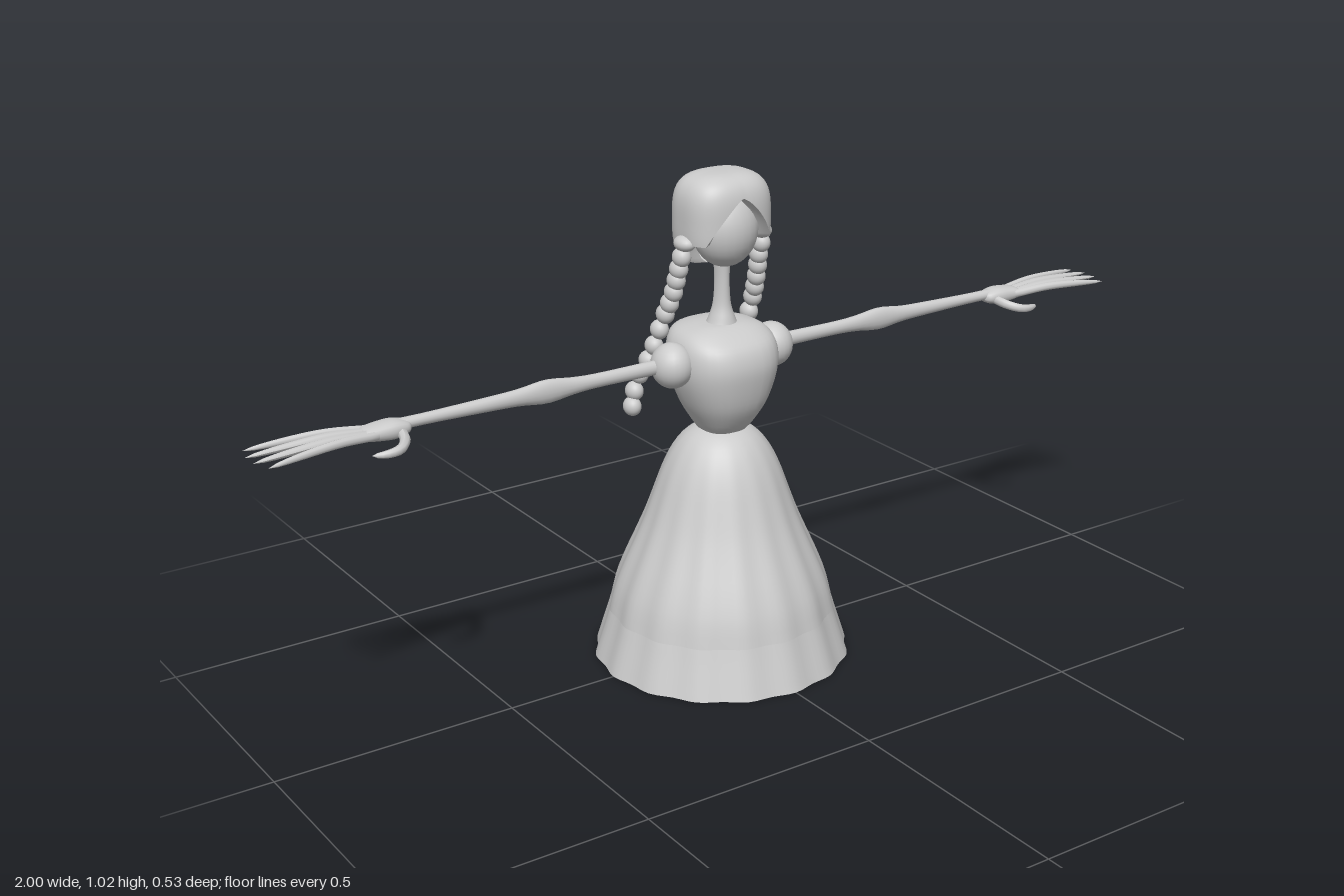
import * as THREE from 'three';

const material = new THREE.MeshStandardMaterial({ color: 0xcccccc, side: THREE.DoubleSide });
const lerp = THREE.MathUtils.lerp;

// Closed-around surface from point(angle, v); angle 0 faces +z, v runs upward
function surface(point, sides, rows) {
  const pos = [], index = [];
  for (let j = 0; j <= rows; j++) {
    for (let i = 0; i < sides; i++) {
      pos.push(...point((i / sides) * Math.PI * 2, j / rows));
      if (j === rows) continue;
      const a = j * sides + i, b = j * sides + (i + 1) % sides;
      index.push(a, b, a + sides, b, b + sides, a + sides);
    }
  }
  const g = new THREE.BufferGeometry();
  g.setAttribute('position', new THREE.Float32BufferAttribute(pos, 3));
  g.setIndex(index);
  g.computeVertexNormals();
  return g;
}

// Rounded-square cross-section, front and back depth set apart
function section(a, rx, zf, zb, power) {
  const s = Math.sin(a), c = Math.cos(a), e = 2 / power;
  return [Math.sign(s) * Math.abs(s) ** e * rx, Math.abs(c) ** e * (c > 0 ? zf : zb)];
}

// Smooth loft through rings [y, half width, front z, back z]
function loft(rings, { power = 2, sides = 32, rows = 24, ripple = () => 1 } = {}) {
  const width = new THREE.CatmullRomCurve3(rings.map(r => new THREE.Vector3(r[1], r[0], 0)), false, 'catmullrom');
  const depth = new THREE.CatmullRomCurve3(
    rings.map(r => new THREE.Vector3(r[2] ?? r[1], r[0], r[3] ?? -r[1])), false, 'catmullrom');
  return surface((a, v) => {
    const w = width.getPoint(v), d = depth.getPoint(v), k = ripple(a, w.y);
    const [x, z] = section(a, w.x, d.x, d.z, power);
    return [x * k, w.y, z * k];
  }, sides, rows);
}

// Round tube along points, thinned towards the tip
function taperedTube(points, radius) {
  const curve = new THREE.CatmullRomCurve3(points.map(p => new THREE.Vector3(...p)));
  const seg = 12, radial = 8, g = new THREE.TubeGeometry(curve, seg, radius, radial);
  const p = g.attributes.position, v = new THREE.Vector3();
  for (let i = 0; i < p.count; i++) {
    const t = Math.floor(i / (radial + 1)) / seg, c = curve.getPointAt(t);
    v.fromBufferAttribute(p, i).sub(c).multiplyScalar(Math.sqrt(1 - t ** 3)).add(c);
    p.setXYZ(i, v.x, v.y, v.z);
  }
  g.computeVertexNormals();
  return g;
}

function ellipsoid(x, y, z, rx, ry, rz) {
  return new THREE.SphereGeometry(1, 24, 16).scale(rx, ry, rz).translate(x, y, z);
}

// Copy across x = 0, with the faces turned back outward
function mirrored(geometry) {
  const g = geometry.clone().scale(-1, 1, 1), ix = g.index;
  for (let i = 0; i < ix.count; i += 3) {
    const b = ix.getX(i + 1);
    ix.setX(i + 1, ix.getX(i + 2));
    ix.setX(i + 2, b);
  }
  g.computeVertexNormals();
  return g;
}

export function createModel() {
  const model = new THREE.Group();
  const add = (name, g) => {
    const mesh = new THREE.Mesh(g, material);
    mesh.name = name;
    model.add(mesh);
  };
  const addPair = (name, g) => {
    add('left' + name, g);
    add('right' + name, mirrored(g));
  };

  // Pleated skirt and its flared hem, open underneath
  const ripple = (a, y) => 1 + 0.013 * Math.cos(16 * a) * Math.min(1, (0.5 - y) * 4);
  const cloth = { sides: 96, ripple };
  add('skirt', loft([[0.1, 0.231], [0.15, 0.219], [0.2, 0.2], [0.25, 0.178], [0.3, 0.157], [0.35, 0.139],
    [0.4, 0.121], [0.44, 0.102], [0.47, 0.08], [0.488, 0.055], [0.495, 0.03]], cloth));
  add('hem', loft([[0, 0.262], [0.035, 0.251], [0.07, 0.24], [0.1, 0.231]], { ...cloth, rows: 6 }));

  // Bodice and neck
  add('bodice', loft([
    [0.488, 0.045, 0.048, -0.045], [0.51, 0.06, 0.067, -0.057], [0.55, 0.083, 0.09, -0.074],
    [0.6, 0.102, 0.103, -0.083], [0.64, 0.108, 0.106, -0.089], [0.675, 0.103, 0.094, -0.099],
    [0.698, 0.086, 0.065, -0.092], [0.709, 0.055, 0.04, -0.055], [0.712, 0.025, 0.025, -0.025],
  ], { power: 2.5, rows: 32 }));
  add('neck', loft([[0.7, 0.036, 0.036, -0.034], [0.72, 0.027, 0.03, -0.024], [0.75, 0.018, 0.022, -0.014],
    [0.8, 0.015, 0.02, -0.01], [0.85, 0.018, 0.022, -0.012]]));

  // Head
  add('face', ellipsoid(0, 0.905, 0.013, 0.068, 0.078, 0.062));

  // Hair: blocky cap parted over the forehead, reaching the nape at the back
  const rim = a => {
    const t = Math.min(a, Math.PI * 2 - a);
    if (t < 0.85) return lerp(0.975, 0.885, t / 0.85);
    return lerp(0.885, 0.832, THREE.MathUtils.smoothstep(t, 1.55, 1.95));
  };
  add('hair', surface((a, v) => {
    const s = Math.max(0, (v - 0.15) / 0.85);
    const y = lerp(rim(a), 1.017, THREE.MathUtils.smootherstep(s, 0, 1));
    const u = Math.min(1, Math.abs(y - 0.923) / 0.094);
    const inner = v < 0.15 ? lerp(0.55, 1, v / 0.15) : 1;
    const k = (1 - u ** 3.4) ** (1 / 3.4) * inner;
    const [x, z] = section(a, 0.094, 0.08, -0.076, 2.7);
    return [x * k, y, z * k];
  }, 96, 40));

  // Braids: tie at the top, then a string of beads falling behind the shoulders
  addPair('HairTie', ellipsoid(0.09, 0.885, 0.007, 0.02, 0.016, 0.026));
  const braid = [[0.094, 0.857, 0.002], [0.095, 0.831, -0.007], [0.097, 0.807, -0.013], [0.099, 0.782, -0.02],
    [0.102, 0.757, -0.03], [0.105, 0.733, -0.041], [0.108, 0.697, -0.058], [0.113, 0.661, -0.071],
    [0.12, 0.628, -0.083], [0.13, 0.596, -0.1], [0.14, 0.561, -0.104], [0.148, 0.531, -0.1]];
  braid.forEach(([x, y, z], i) =>
    addPair('BraidBead' + (i + 1), ellipsoid(x, y, z, 0.018, 0.02, 0.021)));

  // Puffed sleeves
  addPair('Sleeve', ellipsoid(0.12, 0.642, 0.005, 0.042, 0.046, 0.046));

  // Arms, thickened in height at the elbow
  const arm = loft([[0.13, 0.015, 0.013, -0.013], [0.28, 0.014, 0.012, -0.012], [0.34, 0.017, 0.012, -0.012],
    [0.4, 0.024, 0.013, -0.013], [0.46, 0.017, 0.012, -0.012], [0.53, 0.014, 0.012, -0.012],
    [0.65, 0.011, 0.011, -0.011], [0.72, 0.011, 0.013, -0.013]], { sides: 16 });
  addPair('Arm', arm.rotateZ(-Math.PI / 2).translate(0, 0.643, 0));

  // Hands with four long fingers and a curled thumb
  const palm = loft([[0.685, 0.004, 0.006, -0.006], [0.695, 0.012, 0.02, -0.02], [0.72, 0.018, 0.026, -0.025],
    [0.75, 0.016, 0.026, -0.026], [0.775, 0.011, 0.025, -0.025], [0.783, 0.003, 0.012, -0.012]],
  { sides: 20, power: 2.4 });
  addPair('Palm', palm.rotateZ(-Math.PI / 2).translate(0, 0.638, 0));
  [[-0.02, -0.044, 0.99], [-0.007, -0.01, 1], [0.008, 0.024, 0.998], [0.02, 0.06, 0.985]].forEach(([z0, z1, end], i) => {
    const finger = taperedTube([[0.76, 0.638, z0], [0.84, 0.645, lerp(z0, z1, 0.38)],
      [0.92, 0.643, lerp(z0, z1, 0.72)], [end, 0.639, z1]], 0.0085);
    addPair('Finger' + (i + 1), finger);
  });
  addPair('Thumb', taperedTube([[0.71, 0.634, 0.015], [0.718, 0.628, 0.045], [0.738, 0.622, 0.066],
    [0.765, 0.619, 0.068], [0.79, 0.618, 0.058]], 0.01));

  return model;
}
